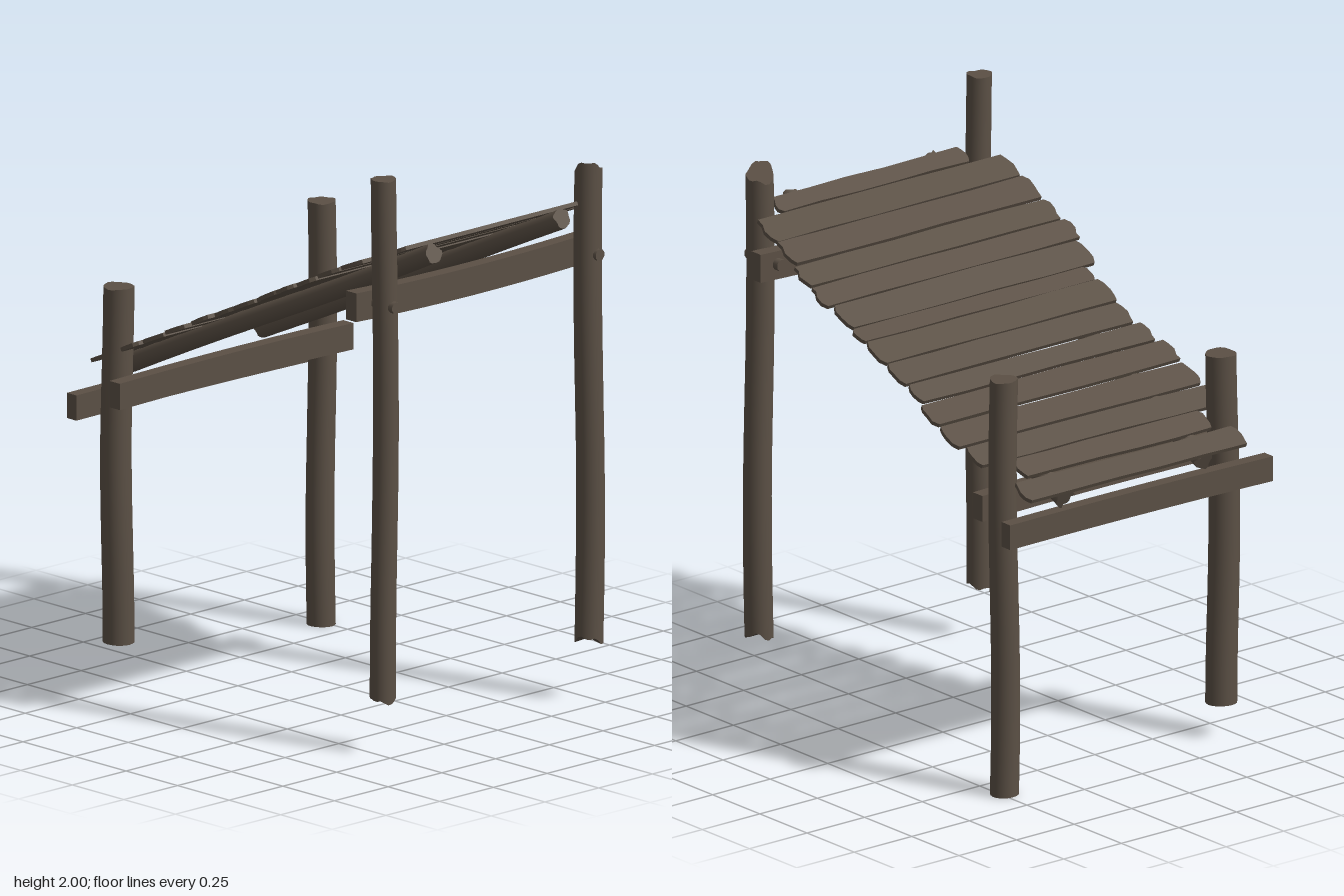
import * as THREE from 'three';

// Small seeded random, returns -1..1
function seeded(seed) {
  let s = seed;
  return () => {
    s = (s * 16807) % 2147483647;
    return (s / 2147483647) * 2 - 1;
  };
}

export function createModel() {
  const wood = new THREE.MeshStandardMaterial({ color: 0x5b5045 });
  wood.name = 'weathered wood';
  const model = new THREE.Group();
  model.name = 'leanToFrame';

  function add(parent, geometry, name, x = 0, y = 0, z = 0) {
    const mesh = new THREE.Mesh(geometry, wood);
    mesh.name = name;
    mesh.position.set(x, y, z);
    parent.add(mesh);
    return mesh;
  }

  // Rough log along y: uneven sides, chipped or slanted ends
  function logGeometry(r, length, seed, topChip, bottomChip, slantX = 0, slantZ = 0) {
    const geo = new THREE.CylinderGeometry(r * 0.97, r, length, 20, 10);
    const p = geo.attributes.position;
    const half = length / 2;
    for (let i = 0; i < p.count; i++) {
      let x = p.getX(i), y = p.getY(i), z = p.getZ(i);
      const a = Math.atan2(z, x);
      const edge = Math.min(1, Math.hypot(x, z) / r);
      const chip = edge * (Math.sin(2 * a + seed) + 0.6 * Math.sin(5 * a + seed * 2)) / 1.6;
      const swell = 1 + 0.03 * Math.sin(3 * a + seed + y * 4);
      const t = y / half;
      if (t > 0.99) y += topChip * chip + (slantX * x + slantZ * z) / r;
      if (t < -0.99) y += bottomChip * chip;
      const bow = 0.005 * Math.sin(t * 3 + seed);
      p.setXYZ(i, x * swell + bow, y, z * swell + bow * 0.6);
    }
    return geo;
  }

  // Corner posts: x, z, radius, bottom, top, chips and slant
  const posts = [
    ['frontRightPost', -0.46, 0.68, 0.044, 0.185, 2.0, 0.004, 0.012, 0, 0],
    ['frontLeftPost', 0.487, 0.685, 0.049, 0.215, 1.855, 0.014, 0.02, -0.014, 0.02],
    ['backRightPost', -0.458, -0.618, 0.054, 0.12, 1.36, 0.003, 0, 0, 0],
    ['backLeftPost', 0.486, -0.612, 0.049, 0, 1.477, 0.004, 0, 0, 0],
  ];
  posts.forEach(([name, x, z, r, y0, y1, top, bottom, sx, sz], i) => {
    add(model, logGeometry(r, y1 - y0, i * 1.7 + 1, top, bottom, sx, sz), name, x, (y0 + y1) / 2, z);
  });

  // Cross beams, bowed a little
  function beam(name, x0, x1, y, z, h, d, bow, turn) {
    const geo = new THREE.BoxGeometry(x1 - x0, h, d, 10, 1, 1);
    const p = geo.attributes.position;
    const half = (x1 - x0) / 2;
    for (let i = 0; i < p.count; i++) {
      const t = p.getX(i) / half;
      p.setY(i, p.getY(i) + bow * (t * t - 0.5));
    }
    add(model, geo, name, (x0 + x1) / 2, y, z).rotation.y = turn;
  }
  beam('frontBeam', -0.55, 0.56, 1.552, 0.612, 0.1, 0.05, 0.012, 0);
  beam('backInnerBeam', -0.547, 0.54, 1.015, -0.538, 0.092, 0.05, -0.006, 0);
  beam('backOuterBeam', -0.59, 0.537, 0.95, -0.693, 0.088, 0.046, -0.004, -0.016);

  // Pegs through the front posts and beam
  for (const x of [-0.46, 0.487]) {
    const geo = new THREE.CylinderGeometry(0.021, 0.021, 0.175, 10);
    geo.rotateX(Math.PI / 2);
    add(model, geo, 'peg', x, 1.56, 0.651);
  }

  // Sloping roof: local y = 0 is the plank top
  const slope = Math.atan(0.463);
  const roof = new THREE.Group();
  roof.name = 'roof';
  roof.position.set(0, 1.428, 0);
  roof.rotation.x = -slope;
  model.add(roof);

  // Two rafters under the planks
  [-0.288, 0.312].forEach((x, i) => {
    const geo = logGeometry(0.035, 1.61, i * 2.3 + 0.5, 0.012, 0.012);
    geo.rotateX(Math.PI / 2);
    add(roof, geo, 'rafter', x, -0.047, -0.012);
  });

  // Planks: back edge z, front edge z, right end x, left end x
  const planks = [
    [-0.755, -0.67, -0.465, 0.495], [-0.655, -0.575, -0.395, 0.43],
    [-0.568, -0.48, -0.505, 0.553], [-0.468, -0.37, -0.5, 0.577],
    [-0.358, -0.262, -0.503, 0.57], [-0.255, -0.178, -0.475, 0.553],
    [-0.165, -0.073, -0.455, 0.56], [-0.065, 0.036, -0.467, 0.56],
    [0.041, 0.102, -0.455, 0.566], [0.107, 0.212, -0.512, 0.56],
    [0.22, 0.306, -0.543, 0.582], [0.316, 0.407, -0.535, 0.575],
    [0.414, 0.517, -0.533, 0.557], [0.52, 0.625, -0.527, 0.555],
    [0.632, 0.697, -0.397, 0.435],
  ];
  const thick = 0.014;
  planks.forEach(([zBack, zFront, x0, x1], i) => {
    const rnd = seeded(911 + i * 577);
    for (let k = 0; k < 5; k++) rnd();
    const w = (zFront - zBack) / Math.cos(slope) / 2;
    const chip = () => 0.012 + 0.012 * rnd();
    const points = [];
    const steps = 5;
    // Long edges waver, ends are chipped
    for (let k = 0; k <= steps; k++) {
      const x = THREE.MathUtils.lerp(x0 + 0.015, x1 - 0.015, k / steps);
      points.push(new THREE.Vector2(x, -w + 0.003 * rnd()));
    }
    for (const t of [-0.6, 0, 0.55]) points.push(new THREE.Vector2(x1 - chip() * Math.abs(t + 0.2), w * t));
    for (let k = steps; k >= 0; k--) {
      const x = THREE.MathUtils.lerp(x0 + 0.015, x1 - 0.015, k / steps);
      points.push(new THREE.Vector2(x, w + 0.003 * rnd()));
    }
    for (const t of [0.6, 0, -0.55]) points.push(new THREE.Vector2(x0 + chip() * Math.abs(t - 0.2), w * t));
    const geo = new THREE.ExtrudeGeometry(new THREE.Shape(points), { depth: thick, bevelEnabled: false });
    geo.rotateX(Math.PI / 2);
    const zMid = (zBack + zFront) / 2 / Math.cos(slope);
    const plank = add(roof, geo, 'plank', 0, 0.002 * rnd(), zMid);
    plank.rotation.set(0.03 * rnd(), 0.006 * rnd(), 0.004 * rnd());
  });

  return model;
}
